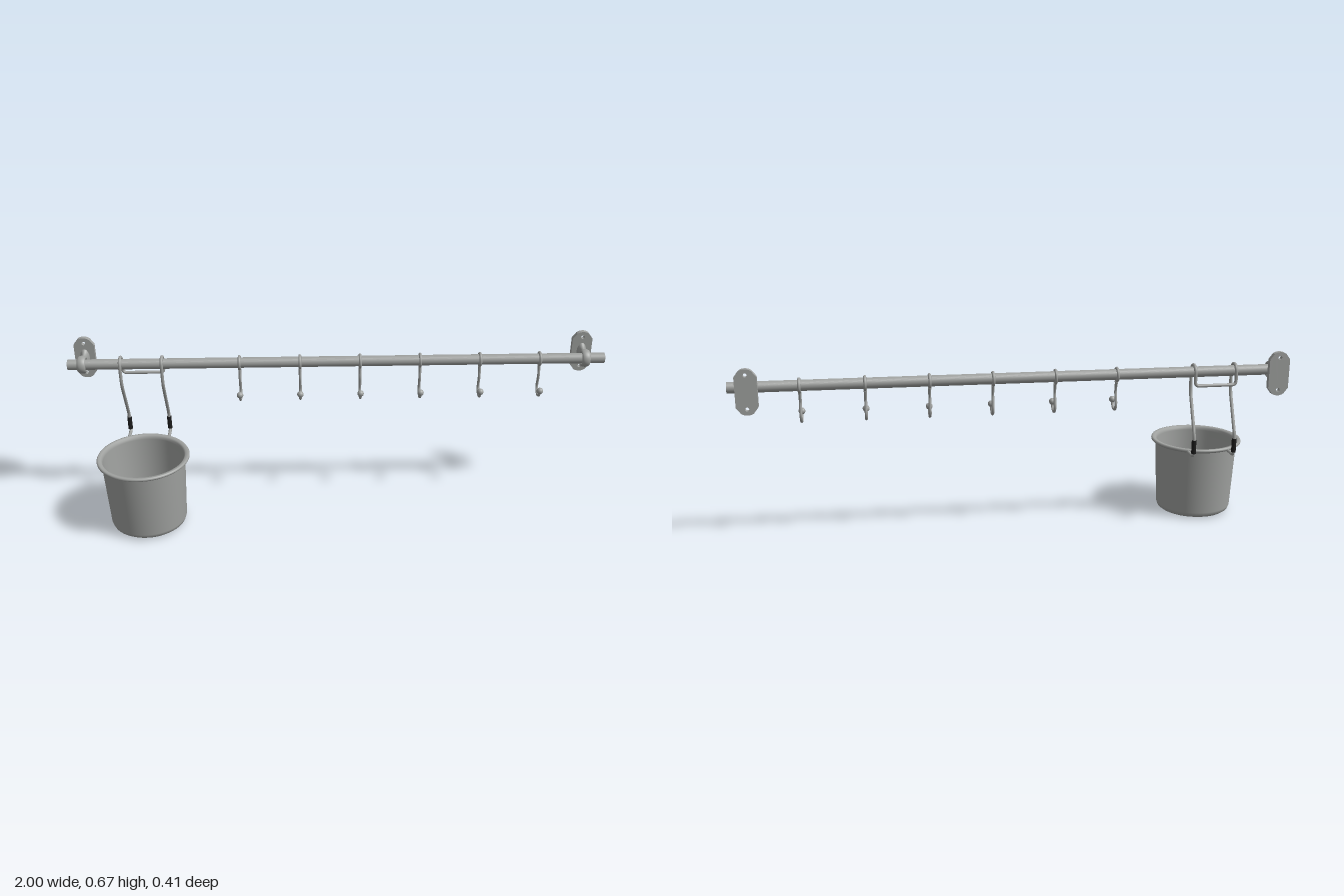
import * as THREE from 'three';

const RAIL_Y = 0.588, RAIL_Z = -0.128;
const steel = new THREE.MeshStandardMaterial({ color: 0xa0a2a0 });
steel.name = 'brushed steel';
const rubber = new THREE.MeshStandardMaterial({ color: 0x1c1c1c });
rubber.name = 'black rubber';

const V3 = (x, y, z) => new THREE.Vector3(x, y, z);

function add(parent, name, geometry, material = steel) {
  const mesh = new THREE.Mesh(geometry, material);
  mesh.name = name;
  parent.add(mesh);
  return mesh;
}

// Lathe from [radius, height] pairs; a repeated pair gives a sharp edge
function lathe(points, segments) {
  return new THREE.LatheGeometry(points.map(p => new THREE.Vector2(p[0], p[1])), segments);
}

// Polyline with rounded corners; each point is [vector, corner radius]
function roundedPath(points) {
  const path = new THREE.CurvePath();
  let last = points[0][0];
  for (let i = 1; i < points.length - 1; i++) {
    const [p, r] = points[i];
    const before = points[i - 1][0], after = points[i + 1][0];
    const a = p.clone().add(before.clone().sub(p).setLength(Math.min(r, p.distanceTo(before) * 0.49)));
    const b = p.clone().add(after.clone().sub(p).setLength(Math.min(r, p.distanceTo(after) * 0.49)));
    path.add(new THREE.LineCurve3(last, a));
    path.add(new THREE.QuadraticBezierCurve3(a, p, b));
    last = b;
  }
  path.add(new THREE.LineCurve3(last, points[points.length - 1][0]));
  return path;
}

// Hollow rail, open at both ends
function makeRail(group) {
  const o = 0.0195, i = 0.0178;
  const rail = add(group, 'rail', lathe([
    [o, -1], [o, 1], [o, 1], [i, 1], [i, 1], [i, -1], [i, -1], [o, -1],
  ], 40));
  rail.rotation.z = Math.PI / 2;
  rail.position.set(0, RAIL_Y, RAIL_Z);
}

// Wall bracket: drilled plate, flared stem and collar round the rail
function makeBracket(x) {
  const bracket = new THREE.Group();
  bracket.name = 'wallBracket';
  bracket.position.set(x, RAIL_Y, 0);

  const shape = new THREE.Shape();
  shape.moveTo(0.0375, -0.0525);
  shape.lineTo(0.0375, 0.0525);
  shape.lineTo(0.022, 0.073);
  shape.quadraticCurveTo(0.013, 0.08, 0, 0.08);
  shape.quadraticCurveTo(-0.013, 0.08, -0.022, 0.073);
  shape.lineTo(-0.0375, 0.0525);
  shape.lineTo(-0.0375, -0.0525);
  shape.lineTo(-0.022, -0.073);
  shape.quadraticCurveTo(-0.013, -0.08, 0, -0.08);
  shape.quadraticCurveTo(0.013, -0.08, 0.022, -0.073);
  for (const s of [-1, 1]) {
    const hole = new THREE.Path();
    hole.absarc(0, s * 0.059, 0.007, 0, Math.PI * 2, true);
    shape.holes.push(hole);
  }
  const plate = add(bracket, 'wallPlate',
    new THREE.ExtrudeGeometry(shape, { depth: 0.018, bevelEnabled: false, curveSegments: 10 }));
  plate.position.z = -0.204;

  const stem = add(bracket, 'stem', lathe([
    [0.037, 0], [0.029, 0.007], [0.0235, 0.015], [0.0215, 0.024], [0.022, 0.034],
  ], 28));
  stem.rotation.x = Math.PI / 2;
  stem.scale.x = 0.5;
  stem.position.z = -0.187;

  const collar = add(bracket, 'collar', new THREE.TorusGeometry(0.0255, 0.0078, 16, 36));
  collar.rotation.y = Math.PI / 2;
  collar.scale.z = 2;
  collar.position.z = RAIL_Z;
  return bracket;
}

// Hook: ring over the rail, curved shank and ball tip
function makeHook(x) {
  const hook = new THREE.Group();
  hook.name = 'hook';
  hook.position.x = x;

  const ring = add(hook, 'hookRing', new THREE.TorusGeometry(0.0225, 0.0055, 12, 32));
  ring.rotation.y = Math.PI / 2;
  ring.position.set(0, RAIL_Y, RAIL_Z);

  const points = [V3(0, 0.563, -0.126), V3(0, 0.543, -0.119), V3(0, 0.523, -0.117), V3(0, 0.5, -0.122)];
  for (let i = 0; i <= 6; i++) {
    const a = i / 6 * Math.PI * 0.98;
    points.push(V3(0, 0.477 - Math.sin(a) * 0.0255, -0.0995 - Math.cos(a) * 0.0265));
  }
  add(hook, 'hookShank', new THREE.TubeGeometry(new THREE.CatmullRomCurve3(points), 48, 0.0052, 10));

  // Shank thickens where it joins the ring
  const root = add(hook, 'hookRoot', new THREE.CylinderGeometry(0.011, 0.005, 0.038, 14));
  root.scale.x = 0.55;
  root.rotation.x = -0.2;
  root.position.set(0, 0.544, -0.121);

  const ball = add(hook, 'hookBall', new THREE.SphereGeometry(0.0122, 20, 14));
  ball.position.set(0, 0.481, -0.071);
  return hook;
}

// Bucket and its wire hanger
function makeBucket() {
  const assembly = new THREE.Group();
  assembly.name = 'hangingBucket';
  assembly.position.x = -0.729;
  const CZ = 0.032;

  const bucket = add(assembly, 'bucket', lathe([
    [0, 0.002], [0.116, 0.002], [0.128, 0.005], [0.137, 0.012], [0.142, 0.026],
    [0.154, 0.272], [0.156, 0.276], [0.167, 0.276], [0.1705, 0.279], [0.171, 0.283], [0.169, 0.287],
    [0.165, 0.288], [0.156, 0.287], [0.151, 0.281], [0.15, 0.272],
    [0.138, 0.028], [0.134, 0.016], [0.126, 0.009], [0.116, 0.006], [0, 0.006],
  ], 64));
  bucket.position.z = CZ;

  // Wire ring under the rim
  const ring = add(assembly, 'supportRing', new THREE.TorusGeometry(0.161, 0.005, 10, 64));
  ring.rotation.x = Math.PI / 2;
  ring.position.set(0, 0.278, CZ);

  // One bent wire: up each side, over the rail, joined by a bar behind
  const side = x => {
    const p = [
      [V3(x, 0.278, -0.105), 0],
      [V3(x, 0.278, -0.175), 0.016],
      [V3(x, 0.355, -0.175), 0.02],
      [V3(x, 0.512, -0.102), 0.025],
    ];
    for (let i = 0; i <= 8; i++) {
      const a = i / 8 * Math.PI;
      p.push([V3(x, RAIL_Y + Math.sin(a) * 0.026, RAIL_Z + Math.cos(a) * 0.026), 0.01]);
    }
    p.push([V3(x, 0.541, -0.154), 0.015]);
    return p;
  };
  const path = roundedPath([...side(-0.0765), ...side(0.0765).reverse()]);
  add(assembly, 'wireHanger', new THREE.TubeGeometry(path, 260, 0.006, 10));

  for (const s of [-1, 1]) {
    const sleeve = add(assembly, 'gripSleeve', new THREE.CylinderGeometry(0.0085, 0.0085, 0.051, 20), rubber);
    sleeve.position.set(s * 0.0765, 0.3155, -0.175);
  }
  return assembly;
}

export function createModel() {
  const group = new THREE.Group();
  group.name = 'hookRail';
  makeRail(group);
  for (const x of [-0.947, 0.928]) group.add(makeBracket(x));
  for (let i = 0; i < 6; i++) group.add(makeHook(-0.366 + i * 0.2246));
  group.add(makeBucket());
  return group;
}
